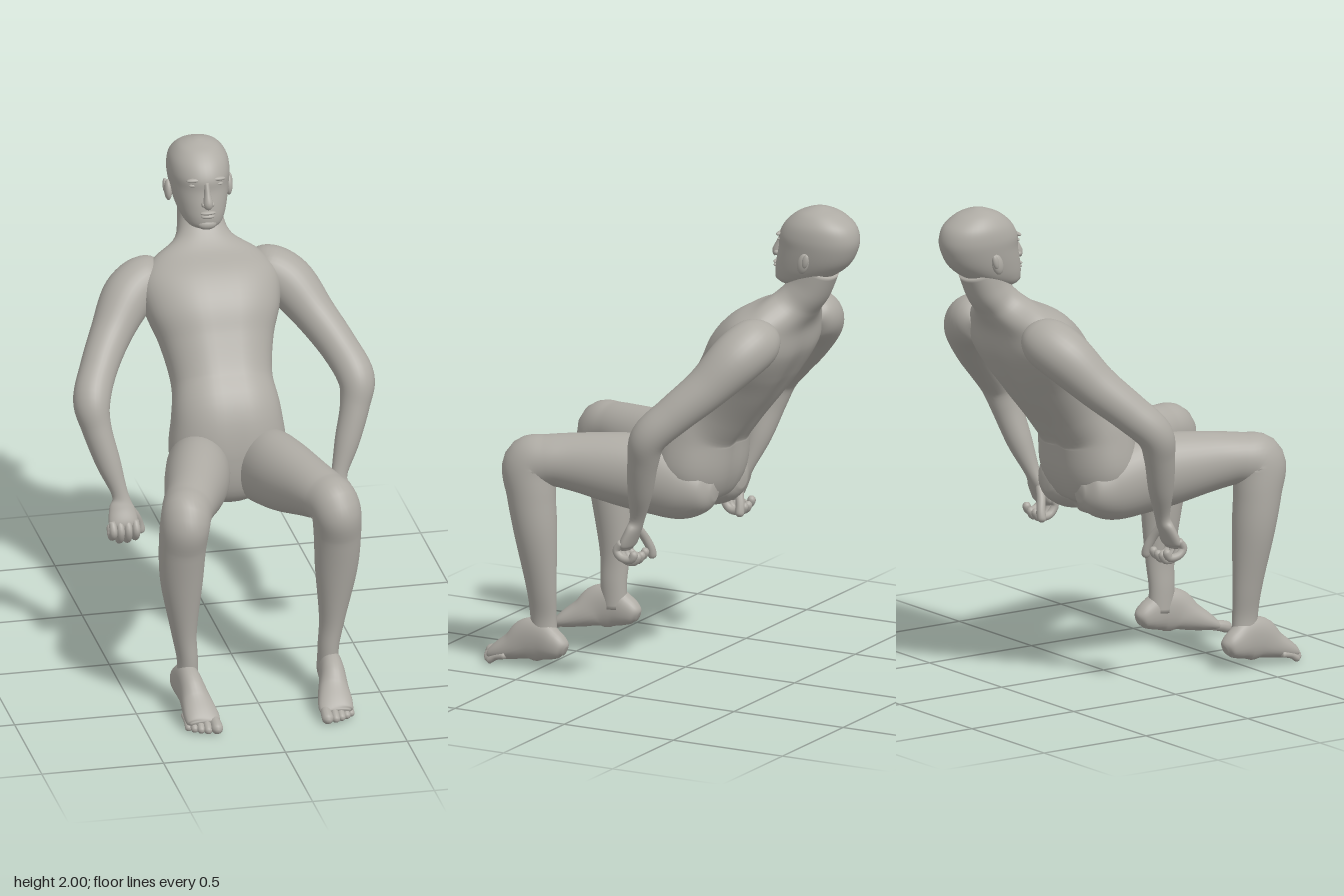
import * as THREE from 'three';

const skin = new THREE.MeshStandardMaterial({ color: 0xaeaba4 });
skin.name = 'warmGreySkin';

// Smooth body through elliptical sections [x, y, z, halfWidth, halfDepth].
function loft(name, sections, { steps = 5, sides = 32, power = 2, shape = null, up = null } = {}) {
  const path = new THREE.CatmullRomCurve3(sections.map(s => new THREE.Vector3(s[0], s[1], s[2])), false, 'catmullrom', 0.5);
  const size = new THREE.CatmullRomCurve3(sections.map(s => new THREE.Vector3(s[3], s[4], 0)), false, 'catmullrom', 0.5);
  const rings = (sections.length - 1) * steps, pos = [], idx = [];
  const bend = c => Math.sign(c) * Math.pow(Math.abs(c), 2 / power);
  for (let i = 0; i <= rings; i++) {
    const f = i / rings, c = path.getPoint(f), r = size.getPoint(f);
    const t = up ? up.clone() : path.getTangent(f);
    const u = new THREE.Vector3(1, 0, 0).addScaledVector(t, -t.x).normalize();
    const v = new THREE.Vector3().crossVectors(t, u);
    for (let j = 0; j < sides; j++) {
      const a = j / sides * Math.PI * 2;
      const k = shape ? shape(f, a) : 1;
      const p = c.clone().addScaledVector(u, r.x * bend(Math.cos(a))).addScaledVector(v, r.y * bend(Math.sin(a)) * k);
      pos.push(p.x, p.y, p.z);
    }
  }
  for (let i = 0; i < rings; i++) for (let j = 0; j < sides; j++) {
    const n = (j + 1) % sides, a = i * sides + j, b = i * sides + n;
    idx.push(a, b, a + sides, b, b + sides, a + sides);
  }
  // End caps
  for (const end of [0, 1]) {
    const c = path.getPoint(end), k = pos.length / 3, o = end * rings * sides;
    pos.push(c.x, c.y, c.z);
    for (let j = 0; j < sides; j++) {
      const n = (j + 1) % sides;
      if (end) idx.push(k, o + j, o + n); else idx.push(k, o + n, o + j);
    }
  }
  const g = new THREE.BufferGeometry();
  g.setAttribute('position', new THREE.Float32BufferAttribute(pos, 3));
  g.setIndex(idx);
  g.computeVertexNormals();
  const m = new THREE.Mesh(g, skin);
  m.name = name;
  return m;
}

function blob(name, x, y, z, rx, ry, rz, tilt = 0) {
  const m = new THREE.Mesh(new THREE.SphereGeometry(1, 20, 14), skin);
  m.name = name;
  m.position.set(x, y, z);
  m.scale.set(rx, ry, rz);
  m.rotation.x = tilt;
  return m;
}

// Rounded digit along a short path
function digit(name, pts, r) {
  const a = pts[0], b = pts[pts.length - 1], p = pts[pts.length - 2];
  const d = new THREE.Vector3(b[0] - p[0], b[1] - p[1], b[2] - p[2]).normalize().multiplyScalar(r * 0.7);
  const tip = [b[0] + d.x, b[1] + d.y, b[2] + d.z];
  return loft(name, [[...a, r * 0.9, r * 0.9], ...pts.slice(1).map(q => [...q, r, r]), [...tip, r * 0.35, r * 0.35]], { steps: 4, sides: 12 });
}

function makeTorso() {
  // Grooves along the spine and breastbone
  const groove = (f, a) => {
    const mid = Math.exp(-Math.pow(Math.cos(a) / 0.17, 2));
    const span = Math.max(0, Math.sin(Math.PI * Math.min(1, f / 0.8)));
    return 1 - mid * span * (Math.sin(a) > 0 ? 0.1 : 0.04);
  };
  return loft('torso', [
    [0, 0.665, -0.06, 0.06, 0.04], [0, 0.74, -0.05, 0.17, 0.12], [0, 0.86, -0.07, 0.235, 0.16],
    [0, 1.02, -0.095, 0.222, 0.162], [0, 1.13, -0.175, 0.205, 0.155], [0, 1.26, -0.265, 0.23, 0.165],
    [0, 1.37, -0.335, 0.272, 0.172], [0, 1.465, -0.415, 0.285, 0.15], [0, 1.54, -0.475, 0.225, 0.1],
    [0, 1.6, -0.525, 0.122, 0.085], [0, 1.66, -0.57, 0.093, 0.085], [0, 1.75, -0.61, 0.085, 0.085],
  ], { steps: 6, sides: 48, power: 2.25, shape: groove });
}

function makeHead() {
  const head = new THREE.Group();
  head.name = 'head';
  // Skull rows: height, front z, back z, half width
  const rows = [
    [1.664, -0.465, -0.54, 0.035], [1.685, -0.432, -0.59, 0.07], [1.72, -0.424, -0.68, 0.093],
    [1.77, -0.43, -0.745, 0.109], [1.83, -0.443, -0.778, 0.12], [1.88, -0.446, -0.785, 0.124],
    [1.93, -0.474, -0.766, 0.115], [1.97, -0.52, -0.715, 0.087], [1.99, -0.565, -0.665, 0.052], [2, -0.6, -0.63, 0.012],
  ];
  head.add(loft('skull', rows.map(([y, f, b, w]) => [0, y, (f + b) / 2, w, (f - b) / 2]),
    { sides: 40, power: 2.1, up: new THREE.Vector3(0, 1, 0) }));
  head.add(loft('nose', [[0, 1.87, -0.452, 0.01, 0.012], [0, 1.83, -0.438, 0.013, 0.018],
    [0, 1.79, -0.424, 0.02, 0.024], [0, 1.778, -0.428, 0.016, 0.016]], { sides: 16 }));
  head.add(blob('upperLip', 0, 1.75, -0.425, 0.033, 0.008, 0.013));
  head.add(blob('lowerLip', 0, 1.735, -0.424, 0.028, 0.009, 0.013));
  head.add(blob('chin', 0, 1.695, -0.445, 0.04, 0.024, 0.025));
  for (const s of [1, -1]) {
    head.add(blob('nostril', s * 0.017, 1.786, -0.428, 0.01, 0.01, 0.014));
    head.add(blob('eye', s * 0.05, 1.858, -0.464, 0.02, 0.007, 0.009));
    head.add(blob('brow', s * 0.048, 1.88, -0.463, 0.032, 0.009, 0.012));
    head.add(blob('ear', s * 0.124, 1.787, -0.607, 0.016, 0.043, 0.025, -0.25));
    head.add(blob('earRim', s * 0.133, 1.8, -0.622, 0.01, 0.03, 0.014, -0.25));
  }
  return head;
}

function makeArm(s) {
  const arm = new THREE.Group();
  arm.name = s > 0 ? 'leftArm' : 'rightArm';
  const at = p => [s * p[0], ...p.slice(1)];
  arm.add(loft('armAndPalm', [
    [0.17, 1.5, -0.475, 0.04, 0.05], [0.235, 1.478, -0.465, 0.095, 0.1], [0.33, 1.42, -0.42, 0.105, 0.108],
    [0.42, 1.305, -0.33, 0.085, 0.09], [0.495, 1.2, -0.225, 0.076, 0.08], [0.542, 1.105, -0.135, 0.075, 0.075],
    [0.53, 1.0, -0.1, 0.06, 0.064], [0.49, 0.86, -0.065, 0.05, 0.052], [0.45, 0.735, -0.03, 0.033, 0.03],
    [0.447, 0.68, -0.01, 0.052, 0.027], [0.445, 0.625, 0.015, 0.06, 0.027], [0.445, 0.6, 0.02, 0.045, 0.015],
  ].map(at), { steps: 6 }));
  // Curled fingers
  [0.398, 0.43, 0.462, 0.492].forEach((x, i) => {
    const low = 0.557 + (i === 3 ? 0.015 : i === 0 ? 0.008 : 0);
    arm.add(digit('finger', [[x, 0.635, 0.02], [x, 0.6, 0.043], [x, low, 0.02], [x - 0.004, low - 0.005, -0.02], [x - 0.006, low + 0.02, -0.035]].map(at), 0.0165));
  });
  arm.add(digit('thumb', [[0.425, 0.69, -0.015], [0.39, 0.64, -0.03], [0.37, 0.595, -0.045], [0.36, 0.56, -0.048]].map(at), 0.018));
  return arm;
}

function makeLeg(s) {
  const leg = new THREE.Group();
  leg.name = s > 0 ? 'leftLeg' : 'rightLeg';
  const at = p => [s * p[0], ...p.slice(1)];
  // Buttock, thigh, knee and shin in one sweep
  leg.add(loft('thighAndShin', [
    [0.11, 0.79, -0.2, 0.035, 0.04], [0.115, 0.79, -0.155, 0.1, 0.1], [0.125, 0.8, -0.06, 0.125, 0.145],
    [0.15, 0.83, 0.06, 0.13, 0.16], [0.187, 0.847, 0.19, 0.127, 0.15], [0.245, 0.866, 0.37, 0.11, 0.119],
    [0.283, 0.868, 0.47, 0.103, 0.105], [0.308, 0.843, 0.54, 0.1, 0.115], [0.318, 0.73, 0.53, 0.095, 0.1],
    [0.317, 0.57, 0.51, 0.085, 0.087], [0.304, 0.35, 0.492, 0.052, 0.064], [0.289, 0.22, 0.49, 0.042, 0.056],
    [0.29, 0.12, 0.485, 0.045, 0.055],
  ].map(at), { steps: 6, sides: 36 }));
  leg.add(loft('foot', [
    [0.302, 0.09, 0.383, 0.015, 0.02], [0.301, 0.098, 0.4, 0.038, 0.043], [0.3, 0.11, 0.44, 0.047, 0.065],
    [0.295, 0.122, 0.5, 0.048, 0.088], [0.29, 0.115, 0.56, 0.052, 0.085], [0.282, 0.084, 0.62, 0.062, 0.06],
    [0.276, 0.058, 0.68, 0.07, 0.041], [0.272, 0.042, 0.715, 0.068, 0.027], [0.272, 0.035, 0.73, 0.055, 0.015],
  ].map(at), { sides: 28, power: 2.2 }));
  for (const [x, z, r] of [[0.227, 0.77, 0.023], [0.262, 0.762, 0.016], [0.288, 0.75, 0.0155], [0.312, 0.735, 0.015], [0.333, 0.715, 0.014]])
    leg.add(digit('toe', [[x + 0.004, 0.045, z - 0.075], [x, 0.036, z - 0.03], [x, r + 0.003, z]].map(at), r));
  return leg;
}

export function createModel() {
  const figure = new THREE.Group();
  figure.name = 'seatedFigure';
  figure.add(makeTorso(), makeHead());
  for (const s of [1, -1]) figure.add(makeArm(s), makeLeg(s));
  return figure;
}
